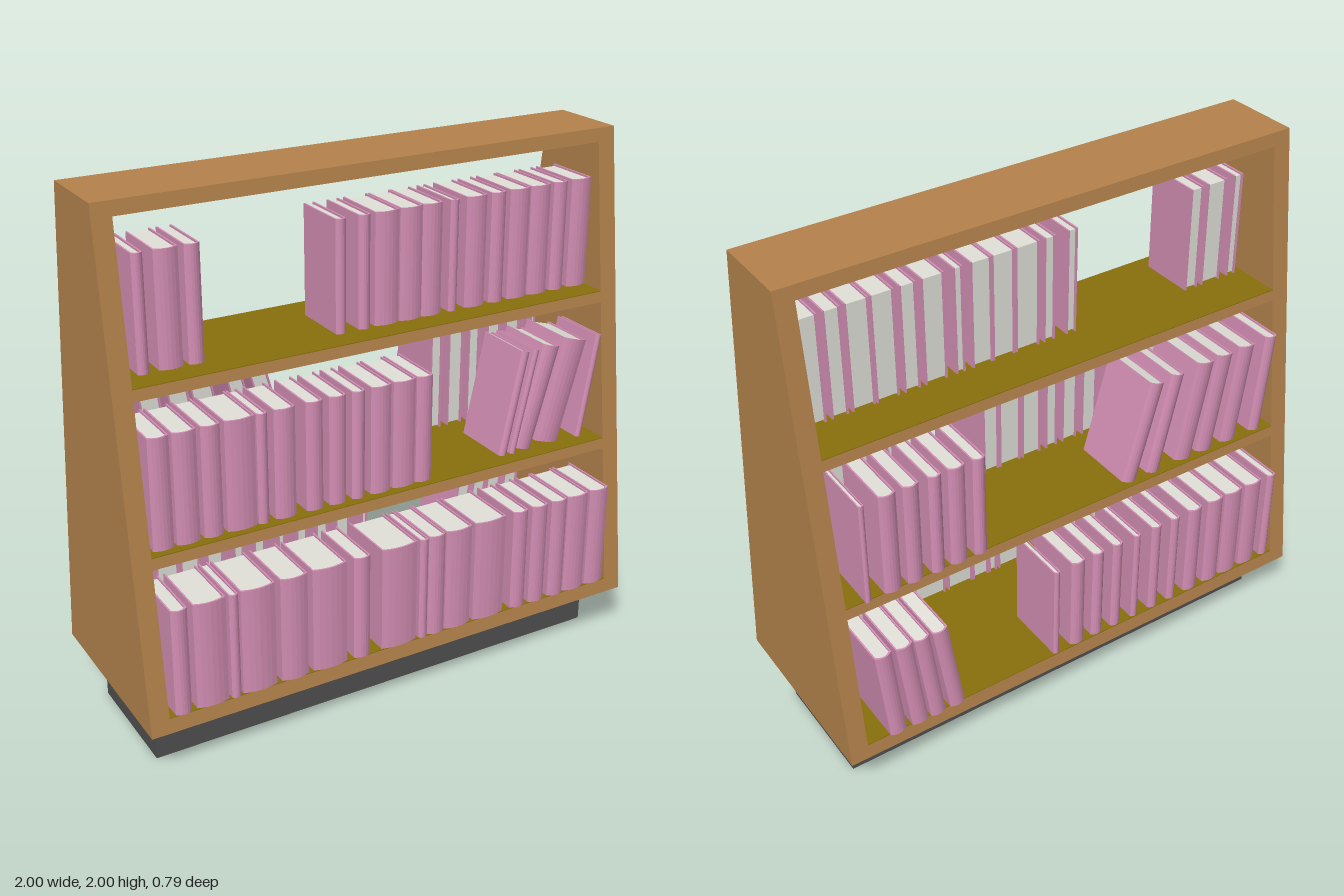
import * as THREE from 'three';

const mat = (color) => new THREE.MeshStandardMaterial({ color });
const wood = mat(0xb5834c), olive = mat(0x88700c), dark = mat(0x505050);
const pink = mat(0xd48fb4), paper = mat(0xe2e2da);

// half depth of the tapered case at height y
const halfDepth = (y) => 0.38 - (0.23 * (y - 0.2)) / 1.8;

function add(parent, name, geometry, material) {
  const mesh = new THREE.Mesh(geometry, material);
  mesh.name = name;
  parent.add(mesh);
  return mesh;
}

// horizontal or upright board whose front and back follow the taper
function taperedBoard(x0, x1, y0, y1) {
  const a = halfDepth(y0), b = halfDepth(y1);
  const s = new THREE.Shape([
    new THREE.Vector2(-a, y0), new THREE.Vector2(a, y0),
    new THREE.Vector2(b, y1), new THREE.Vector2(-b, y1),
  ]);
  const g = new THREE.ExtrudeGeometry(s, { depth: x1 - x0, bevelEnabled: false });
  return g.rotateY(Math.PI / 2).translate(x0, 0, 0);
}

// plan outline extruded upwards; shape y runs towards the fore edge (-z)
function upright(shape, height, y) {
  const g = new THREE.ExtrudeGeometry(shape, { depth: height, bevelEnabled: false, curveSegments: 6 });
  return g.rotateX(-Math.PI / 2).translate(0, y, 0);
}

// book centred on its own middle, with the rounded spine reaching z = 0
function makeBook(w, height, depth) {
  const book = new THREE.Group();
  book.name = 'book';
  const t = Math.min(0.006, w * 0.2), h = w / 2, i = h - t;
  const bulge = Math.min(0.012, w * 0.25);

  const cover = new THREE.Shape();
  cover.moveTo(-h, depth);
  cover.lineTo(-h, bulge);
  cover.quadraticCurveTo(0, -bulge, h, bulge);
  cover.lineTo(h, depth);
  cover.lineTo(i, depth);
  cover.lineTo(i, bulge + t);
  cover.quadraticCurveTo(0, -bulge + t, -i, bulge + t);
  cover.lineTo(-i, depth);
  add(book, 'cover', upright(cover, height, -height / 2), pink);

  const block = new THREE.Shape();
  block.moveTo(-i, depth - 0.008);
  block.lineTo(-i, bulge + t);
  block.quadraticCurveTo(0, -bulge + t, i, bulge + t);
  block.lineTo(i, depth - 0.008);
  add(book, 'pages', upright(block, height - 0.014, -height / 2 + 0.007), paper);
  return book;
}

// books: [centre x, width, lean towards +x]
function bookRow(parent, name, books, y, spineZ, depth, height = 0.405) {
  const row = new THREE.Group();
  row.name = name;
  for (const [x, w, lean = 0] of books) {
    const book = makeBook(w, height, depth);
    if (spineZ < 0) book.rotation.y = Math.PI;
    const tilt = new THREE.Group();
    tilt.name = 'bookPlacement';
    tilt.add(book);
    tilt.rotation.z = -lean;
    const rise = (height * Math.cos(lean) + w * Math.abs(Math.sin(lean))) / 2;
    tilt.position.set(x, y + rise, spineZ);
    row.add(tilt);
  }
  parent.add(row);
}

// left/right edges to [centre, width]
const spans = (list) => list.map(([a, b]) => [(a + b) / 2, b - a]);

export function createModel() {
  const model = new THREE.Group();
  model.name = 'doubleSidedBookcase';

  // plinth and case
  add(model, 'plinth', new THREE.BoxGeometry(1.86, 0.2, 0.46).translate(0, 0.1, 0), dark);
  add(model, 'leftSide', taperedBoard(0.93, 1, 0.2, 2), wood);
  add(model, 'rightSide', taperedBoard(-1, -0.93, 0.2, 2), wood);
  add(model, 'topBoard', taperedBoard(-0.93, 0.93, 1.95, 2), wood);
  for (const [y0, y1] of [[0.2, 0.255], [0.795, 0.835], [1.365, 1.405]]) {
    add(model, 'shelf', taperedBoard(-0.93, 0.93, y0, y1), wood);
    add(model, 'shelfLining', taperedBoard(-0.93, 0.93, y1, y1 + 0.003), olive);
  }

  // top shelf: one row
  bookRow(model, 'topBooks', spans([
    [-0.88, -0.84], [-0.805, -0.72], [-0.70, -0.645], [-0.155, -0.115], [-0.065, -0.02],
    [0, 0.095], [0.1, 0.188], [0.19, 0.27], [0.3, 0.335], [0.37, 0.455], [0.475, 0.535],
    [0.555, 0.64], [0.645, 0.73], [0.745, 0.805], [0.825, 0.91],
  ]), 1.42, 0.163, 0.23);

  // middle shelf, front
  bookRow(model, 'middleFrontBooks', spans([
    [-0.915, -0.84], [-0.83, -0.745], [-0.73, -0.66], [-0.645, -0.535], [-0.53, -0.49],
    [-0.465, -0.385], [-0.345, -0.28], [-0.255, -0.19], [-0.165, -0.115], [-0.09, -0.01],
    [0, 0.09], [0.095, 0.16],
  ]), 0.85, 0.293, 0.24);
  bookRow(model, 'middleFrontLeaningBooks', [
    [0.53, 0.035, 0.21], [0.575, 0.025, 0.22], [0.635, 0.075, 0.28],
    [0.743, 0.107, 0.28], [0.87, 0.025, 0.17],
  ], 0.85, 0.27, 0.24);

  // middle shelf, back
  bookRow(model, 'middleBackBooks', spans([
    [0.385, 0.435], [0.465, 0.53], [0.555, 0.605], [0.64, 0.70], [0.725, 0.79], [0.845, 0.865],
  ]), 0.85, -0.325, 0.25);
  bookRow(model, 'middleBackLeaningBooks', [
    [-0.865, 0.055, -0.1], [-0.74, 0.075, -0.14], [-0.63, 0.075, -0.17],
    [-0.535, 0.08, -0.2], [-0.4, 0.06, -0.23], [-0.3, 0.065, -0.27],
  ], 0.85, -0.3, 0.25);

  // bottom shelf, front
  bookRow(model, 'bottomFrontBooks', spans([
    [-0.91, -0.85], [-0.83, -0.71], [-0.70, -0.665], [-0.655, -0.525], [-0.505, -0.40],
    [-0.38, -0.245], [-0.215, -0.15], [-0.10, 0.045], [0.055, 0.09], [0.095, 0.165],
    [0.17, 0.28], [0.295, 0.43], [0.465, 0.53], [0.55, 0.62], [0.64, 0.71],
    [0.715, 0.81], [0.82, 0.905],
  ]), 0.268, 0.393, 0.25);

  // bottom shelf, back
  bookRow(model, 'bottomBackBooks', spans([
    [-0.91, -0.87], [-0.84, -0.76], [-0.745, -0.66], [-0.65, -0.575], [-0.545, -0.48],
    [-0.435, -0.395], [-0.35, -0.305], [-0.25, -0.22], [-0.17, -0.125], [-0.085, -0.035],
    [0, 0.06], [0.115, 0.14],
  ]), 0.265, -0.378, 0.25, 0.395);
  bookRow(model, 'bottomBackLeaningBooks', [
    [0.597, 0.06, 0.15], [0.673, 0.06, 0.13], [0.745, 0.065, 0.12], [0.83, 0.065, 0.1],
  ], 0.262, -0.395, 0.25, 0.39);

  return model;
}
